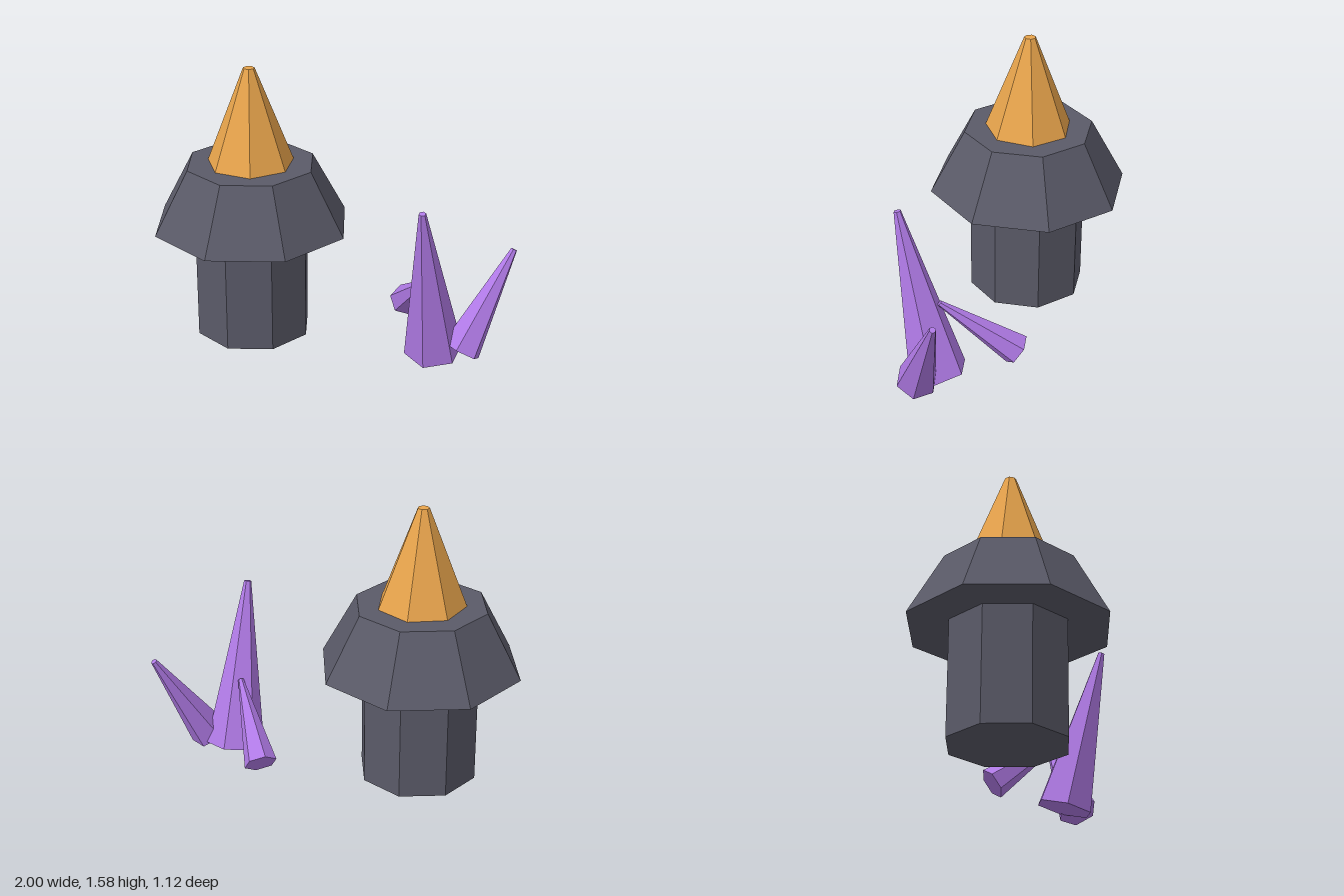
import * as THREE from 'three';

const material = (color) => new THREE.MeshStandardMaterial({ color, flatShading: true });

// Upright tapered prism standing between two heights
function prism(name, mat, rTop, rBottom, y0, y1, sides, turn = 0) {
  const geo = new THREE.CylinderGeometry(rTop, rBottom, y1 - y0, sides);
  const mesh = new THREE.Mesh(geo, mat);
  mesh.name = name;
  mesh.position.y = (y0 + y1) / 2;
  mesh.rotation.y = turn;
  return mesh;
}

// Six-sided shard from base to tip; corner is the direction of one base corner
function shard(name, mat, base, tip, corner, rBase, rTip) {
  const a = new THREE.Vector3(...base);
  const b = new THREE.Vector3(...tip);
  const length = a.distanceTo(b);
  const y = b.clone().sub(a).normalize();
  const x = y.clone().cross(new THREE.Vector3(...corner)).normalize();
  const z = x.clone().cross(y);
  const geo = new THREE.CylinderGeometry(rTip, rBase, length, 6);
  const mesh = new THREE.Mesh(geo, mat);
  mesh.name = name;
  mesh.quaternion.setFromRotationMatrix(new THREE.Matrix4().makeBasis(x, y, z));
  mesh.position.copy(a).add(b).multiplyScalar(0.5);
  return mesh;
}

export function createModel() {
  const model = new THREE.Group();
  const stone = material(0x5a5a68);
  const fire = material(0xe8a44c);
  const crystal = material(0xb07ae6);

  // Stone brazier with its flame
  const brazier = new THREE.Group();
  brazier.name = 'brazier';
  brazier.position.x = -0.44;
  brazier.add(
    prism('post', stone, 0.33, 0.33, 0.03, 0.68, 8),
    prism('cap', stone, 0.365, 0.56, 0.675, 1.035, 8),
    prism('flame', fire, 0.032, 0.243, 1.035, 1.58, 7, Math.PI),
  );

  // Cluster of three leaning crystals
  const cluster = new THREE.Group();
  cluster.name = 'crystalCluster';
  cluster.add(
    shard('tallCrystal', crystal, [0.617, 0.043, -0.12], [0.617, 0.962, 0.12], [0, 0, 1], 0.165, 0.02),
    shard('leftCrystal', crystal, [0.785, 0.08, -0.105], [0.98, 0.62, -0.365], [0.095, -0.01, 0.06], 0.113, 0.018),
    shard('backCrystal', crystal, [0.325, 0.14, -0.435], [0.575, 0.455, -0.11], [-0.082, 0.025, 0.035], 0.091, 0.016),
  );

  model.add(brazier, cluster);
  return model;
}
